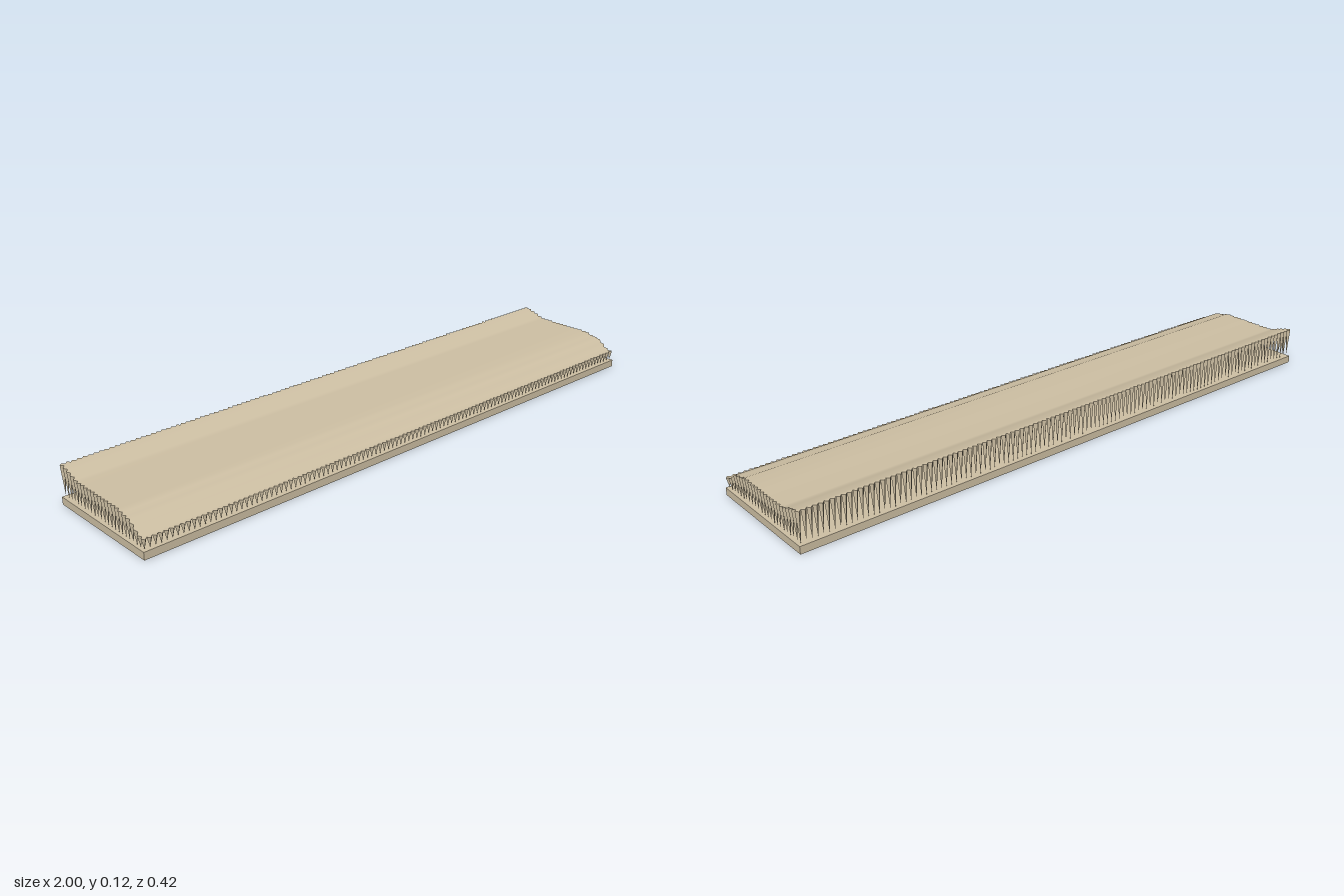
import * as THREE from 'three';
import { mergeGeometries } from 'three/addons/utils/BufferGeometryUtils.js';

// Height of the upper sheet from front to back, as [z, y]
const PROFILE = [
  [0.208, 0.058], [0.192, 0.059], [0.175, 0.065], [0.16, 0.078], [0.143, 0.09],
  [0.125, 0.093], [0.105, 0.096], [0.09, 0.102], [0, 0.102], [-0.115, 0.102],
  [-0.13, 0.105], [-0.15, 0.113], [-0.17, 0.119], [-0.192, 0.125], [-0.208, 0.125],
];
const HALF_X = 1, HALF_Z = 0.208, SLAB = 0.024, TIP = 0.026;

function heightAt(z) {
  for (let i = 0; i < PROFILE.length - 1; i++) {
    const [z0, y0] = PROFILE[i], [z1, y1] = PROFILE[i + 1];
    if (z <= z0 && z >= z1) return y0 + (y1 - y0) * (z0 - z) / (z0 - z1);
  }
  return z > 0 ? PROFILE[0][1] : PROFILE[PROFILE.length - 1][1];
}

// Four-sided spike, point down, with its top following the sheet
function spike(x, z, radius) {
  const g = new THREE.ConeGeometry(radius, 1, 4, 1).rotateX(Math.PI).translate(x, 0.5, z);
  const p = g.attributes.position;
  for (let i = 0; i < p.count; i++) {
    p.setY(i, p.getY(i) > 0.5 ? heightAt(p.getZ(i)) : TIP);
  }
  g.computeVertexNormals();
  return g;
}

export function createModel() {
  const model = new THREE.Group();
  const stone = new THREE.MeshStandardMaterial({ color: 0xcdbfa3 });
  const sheetStone = stone;
  sheetStone.name = 'sandstone';
  sheetStone.side = THREE.DoubleSide;

  const add = (name, geometry) => {
    const mesh = new THREE.Mesh(geometry, stone);
    mesh.name = name;
    model.add(mesh);
  };

  // Flat slab
  add('baseSlab', new THREE.BoxGeometry(2 * HALF_X, SLAB, 2 * HALF_Z).translate(0, SLAB / 2, 0));

  // Curved upper sheet, ending on the centre line of the spikes
  const radius = HALF_Z / 24, ex = HALF_X - radius, ez = HALF_Z - radius;
  const rows = PROFILE.length - 1;
  const sheet = new THREE.PlaneGeometry(2 * ex, 1, 1, rows).rotateX(-Math.PI / 2);
  const p = sheet.attributes.position;
  for (let i = 0; i < p.count; i++) {
    const z = THREE.MathUtils.clamp(PROFILE[rows - Math.floor(i / 2)][0], -ez, ez);
    p.setY(i, heightAt(z));
    p.setZ(i, z);
  }
  sheet.computeVertexNormals();
  add('upperSheet', sheet);

  // Spikes around the rim
  const nx = 115, nz = 24;
  const long = { front: [], back: [] }, short = { left: [], right: [] };
  for (let i = 0; i < nx; i++) {
    const x = -ex + 2 * ex * i / (nx - 1);
    long.front.push(spike(x, ez, radius));
    long.back.push(spike(x, -ez, radius));
  }
  for (let i = 1; i < nz - 1; i++) {
    const z = -ez + 2 * ez * i / (nz - 1);
    short.left.push(spike(ex, z, radius));
    short.right.push(spike(-ex, z, radius));
  }
  for (const [side, list] of Object.entries({ ...long, ...short })) {
    // Separate faces keep the spikes faceted
    const g = mergeGeometries(list).toNonIndexed();
    g.computeVertexNormals();
    add(side + 'Spikes', g);
  }
  return model;
}
